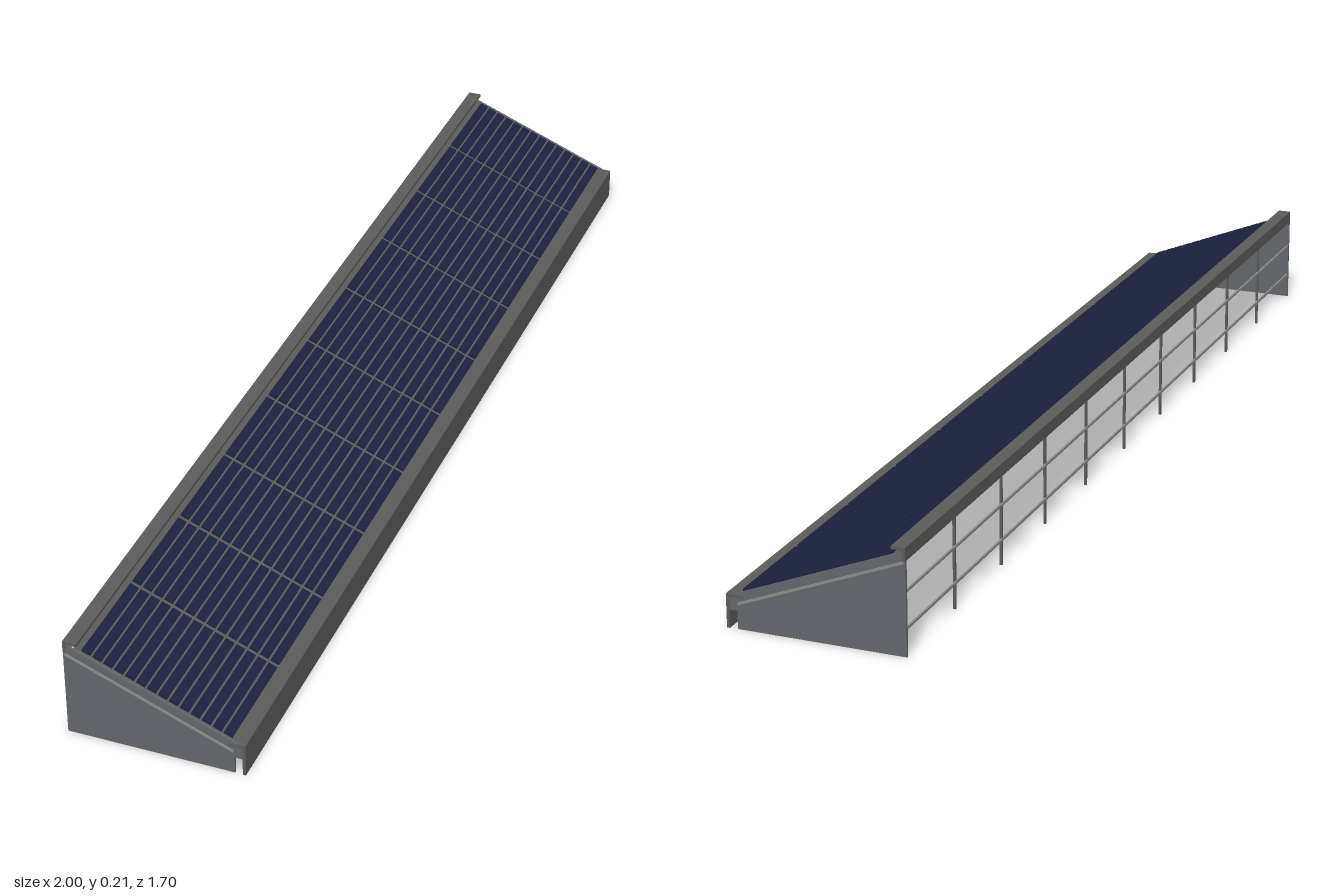
import * as THREE from 'three';

export function createModel() {
  const mat = (name, color) => {
    const m = new THREE.MeshStandardMaterial({ color });
    m.name = name;
    return m;
  };
  const frame = mat('dark grey frame', 0x5c5c5b);
  const wall = mat('slate grey wall', 0x62666a);
  const navy = mat('navy cell', 0x1d2340);
  const light = mat('light grey rail', 0x8c8c89);

  const L = 2.27, W = 0.36;        // length and depth of the array
  const FRONT = 0.068, BACK = 0.212; // heights of the two long edges
  const BAYS = 10, ROWS = 14;
  const tilt = Math.atan((BACK - FRONT) / W);
  const slopeY = z => (FRONT + BACK) / 2 - z * (BACK - FRONT) / W;

  const model = new THREE.Group();
  const array = new THREE.Group();
  array.name = 'solarArray';
  array.rotation.y = 0.673;
  model.add(array);

  const box = (parent, name, m, w, h, d, x, y, z) => {
    const mesh = new THREE.Mesh(new THREE.BoxGeometry(w, h, d), m);
    mesh.name = name;
    mesh.position.set(x, y, z);
    parent.add(mesh);
    return mesh;
  };

  // Front and back edge channels
  box(array, 'frontWall', frame, L, FRONT, 0.006, 0, FRONT / 2, W / 2 - 0.003);
  box(array, 'frontFlange', frame, L, 0.006, 0.034, 0, FRONT - 0.003, W / 2 - 0.017);
  box(array, 'backFascia', frame, L, 0.026, 0.006, 0, BACK - 0.013, -W / 2 + 0.003);
  box(array, 'backFlange', frame, L, 0.006, 0.028, 0, BACK - 0.003, -W / 2 + 0.014);

  // Tilted panel bed with raised cell strips; the gaps show the bed
  const panel = new THREE.Group();
  panel.name = 'tiltedPanel';
  panel.position.y = slopeY(0) - 0.012;
  panel.rotation.x = tilt;
  array.add(panel);
  box(panel, 'panelBed', frame, L - 0.008, 0.006, 0.35, 0, 0, 0);
  const bay = (L - 0.012) / BAYS, pitch = 0.325 / ROWS;
  for (let b = 0; b < BAYS; b++) {
    for (let r = 0; r < ROWS; r++) {
      box(panel, 'cellStrip', navy, bay - 0.012, 0.005, pitch - 0.0045,
        (b - (BAYS - 1) / 2) * bay, 0.0055, (r - (ROWS - 1) / 2) * pitch);
    }
  }

  // End walls, stopping short of the front, with a sloping rail outside
  const zf = W / 2 - 0.022, zb = -W / 2;
  const outline = new THREE.Shape([
    [-zf, 0], [-zb, 0], [-zb, BACK - 0.006], [-W / 2, FRONT - 0.006], [-W / 2, 0.036], [-zf, 0.036],
  ].map(([x, y]) => new THREE.Vector2(x, y)));
  for (const s of [-1, 1]) {
    const geo = new THREE.ExtrudeGeometry(outline, { depth: 0.005, bevelEnabled: false });
    geo.rotateY(Math.PI / 2);
    const end = new THREE.Mesh(geo, wall);
    end.name = 'endWall';
    end.position.x = s * (L / 2 - 0.0035) - 0.0025;
    array.add(end);
    const rail = box(array, 'endRail', light, 0.002, 0.005, W / Math.cos(tilt) - 0.03,
      s * L / 2, slopeY(0) - 0.023, -0.01);
    rail.rotation.x = tilt;
  }

  // Supports under each joint: back posts and short posts with cap plates
  for (let i = 1; i < BAYS; i++) {
    const x = (i - BAYS / 2) * bay;
    box(array, 'backPost', frame, 0.005, BACK - 0.006, 0.005, x, (BACK - 0.006) / 2, zb + 0.006);
    box(array, 'backClip', frame, 0.008, 0.02, 0.004, x, BACK - 0.014, zb + 0.02);
    const z = 0.065, h = slopeY(z) - 0.016;
    box(array, 'innerPost', frame, 0.005, h, 0.005, x, h / 2, z);
    box(array, 'postCap', frame, 0.024, 0.005, 0.012, x, h - 0.01, z);
  }

  // Thin horizontal rails across the open back
  for (const y of [0.054, 0.126]) {
    box(array, 'backRail', light, L - 0.01, 0.005, 0.004, 0, y, zb + 0.003);
  }
  return model;
}
